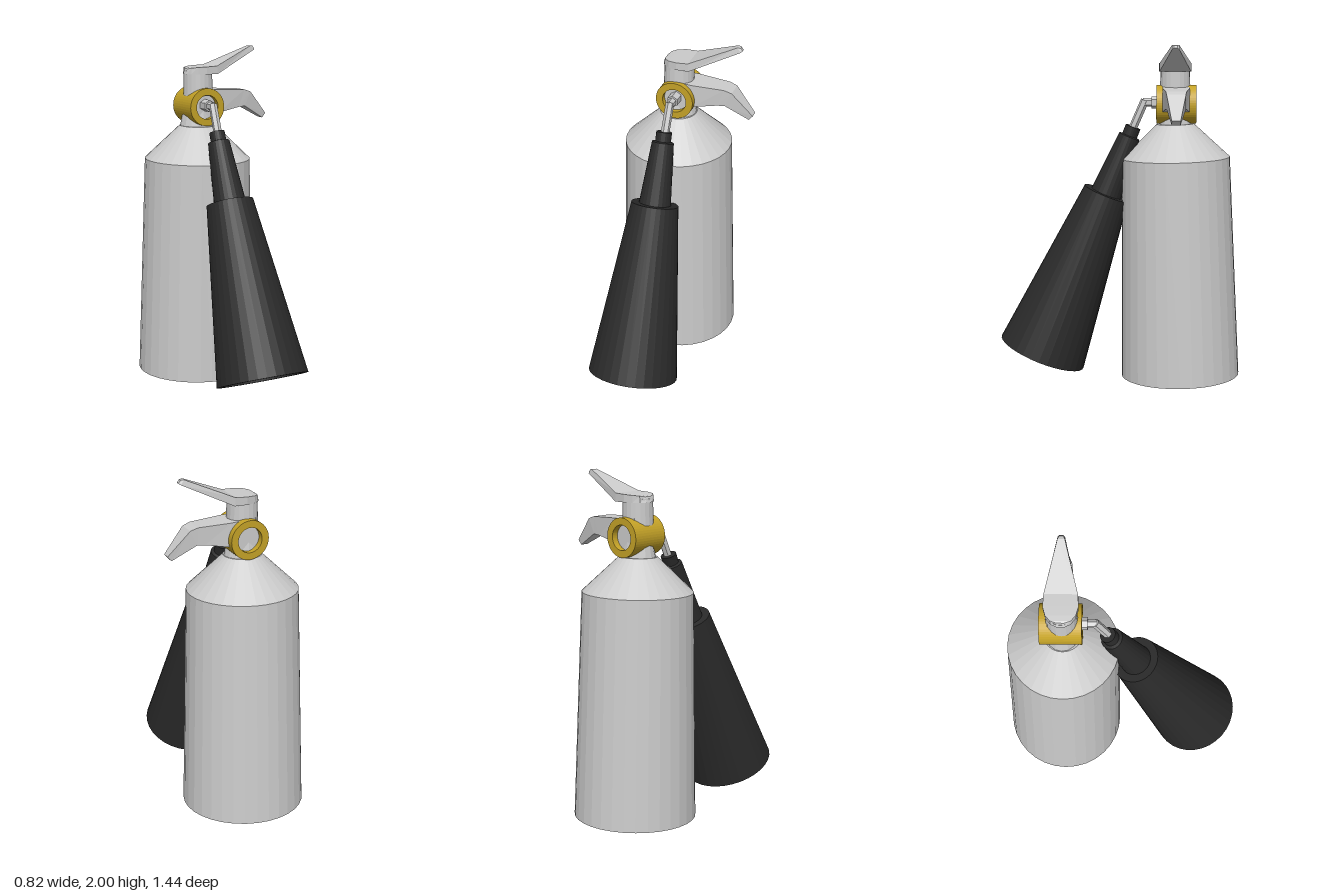
import * as THREE from 'three';

const paint = (color) => new THREE.MeshStandardMaterial({ color, flatShading: true });
const grey = paint(0xcccccc);
const black = paint(0x2a2a2a);
const yellow = paint(0xc4a227);

const CX = -0.055; // centre line of tank and horn
const VX = -0.045, VZ = -0.33; // valve centre

function part(parent, name, geometry, material) {
  const mesh = new THREE.Mesh(geometry, material);
  mesh.name = name;
  parent.add(mesh);
  return mesh;
}

const lathe = (points, sides) =>
  new THREE.LatheGeometry(points.map(([r, y]) => new THREE.Vector2(r, y)), sides);

// Lofts box sections along +x: [xBottom, yBottom, xTop, yTop, halfWidth]
function loft(sections) {
  const pos = [], index = [];
  for (const [xb, yb, xt, yt, w] of sections) {
    pos.push(xb, yb, -w, xb, yb, w, xt, yt, w, xt, yt, -w);
  }
  const last = (sections.length - 1) * 4;
  for (let i = 0; i < last; i += 4) {
    for (let k = 0; k < 4; k++) {
      const n = (k + 1) % 4;
      index.push(i + k, i + 4 + k, i + 4 + n, i + k, i + 4 + n, i + n);
    }
  }
  index.push(0, 1, 2, 0, 2, 3, last, last + 2, last + 1, last, last + 3, last + 2);
  const g = new THREE.BufferGeometry();
  g.setAttribute('position', new THREE.Float32BufferAttribute(pos, 3));
  g.setIndex(index);
  g.computeVertexNormals();
  return g;
}

// Rod between two points
function rod(parent, name, a, b, radius, material) {
  const from = new THREE.Vector3(...a), to = new THREE.Vector3(...b);
  const dir = to.clone().sub(from);
  const mesh = part(parent, name, new THREE.CylinderGeometry(radius, radius, dir.length(), 6), material);
  mesh.position.copy(from).lerp(to, 0.5);
  mesh.quaternion.setFromUnitVectors(new THREE.Vector3(0, 1, 0), dir.normalize());
  return mesh;
}

export function createModel() {
  const model = new THREE.Group();
  model.name = 'fireExtinguisher';

  // Tank with sloping shoulder, leaning slightly forward
  const tank = new THREE.Group();
  tank.name = 'tank';
  tank.position.set(CX, 0.009, -0.365);
  tank.rotation.x = 0.025;
  model.add(tank);
  part(tank, 'tankBody', lathe([[0, 0], [0.355, 0], [0.32, 1.32], [0.11, 1.52], [0, 1.52]], 32), grey);

  // Neck
  const neck = part(model, 'neck', new THREE.CylinderGeometry(0.085, 0.112, 0.14, 16), grey);
  neck.position.set(CX, 1.57, VZ);
  neck.scale.z = 0.9;

  // Collar ring around the valve, open front and back
  const ring = new THREE.Shape().absarc(0, 0, 0.113, 0, Math.PI * 2);
  ring.holes.push(new THREE.Path().absarc(0, 0, 0.072, 0, Math.PI * 2, true));
  const ringGeometry = new THREE.ExtrudeGeometry(ring, { depth: 0.235, bevelEnabled: false, curveSegments: 24 });
  part(model, 'valveRing', ringGeometry, yellow).position.set(VX, 1.645, -0.45);

  // Valve core, recessed inside the ring
  const core = part(model, 'valveCore', new THREE.CylinderGeometry(0.074, 0.074, 0.16, 20), grey);
  core.rotation.x = Math.PI / 2;
  core.position.set(VX, 1.645, VZ);

  // Post carrying the top handle
  const post = part(model, 'handlePost', new THREE.CylinderGeometry(0.086, 0.09, 0.15, 20), grey);
  post.position.set(-0.052, 1.785, VZ + 0.005);

  // Teardrop top handle
  part(model, 'topHandle', loft([
    [-0.142, 1.84, -0.13, 1.872, 0.02],
    [-0.125, 1.84, -0.12, 1.878, 0.055],
    [-0.09, 1.84, -0.09, 1.882, 0.082],
    [-0.04, 1.84, -0.04, 1.885, 0.096],
    [0.035, 1.84, 0.03, 1.888, 0.092],
    [0.325, 1.975, 0.3, 2.0, 0.02],
    [0.332, 1.982, 0.32, 1.998, 0.01],
  ]), grey).position.z = VZ + 0.005;

  // Squeeze lever, bent down at its end
  part(model, 'squeezeLever', loft([
    [-0.1, 1.62, -0.1, 1.755, 0.075],
    [0.05, 1.605, 0.05, 1.745, 0.08],
    [0.2, 1.632, 0.24, 1.737, 0.06],
    [0.245, 1.635, 0.285, 1.722, 0.055],
    [0.385, 1.555, 0.408, 1.582, 0.025],
  ]), grey).position.z = VZ;

  // Outlet arm from valve to horn
  const arm = new THREE.Group();
  arm.name = 'outletArm';
  model.add(arm);
  rod(arm, 'outletSocket', [VX, 1.655, -0.27], [VX, 1.655, -0.185], 0.036, grey);
  rod(arm, 'outletElbow', [VX, 1.655, -0.2], [VX, 1.655, -0.135], 0.025, grey);
  rod(arm, 'outletPipe', [VX, 1.668, -0.147], [CX + 0.005, 1.49, -0.07], 0.025, grey);

  // Discharge horn: hollow flared cone with a narrower grip above
  const horn = new THREE.Group();
  horn.name = 'dischargeHorn';
  horn.position.set(CX, 0.135, 0.4725);
  horn.rotation.x = -Math.atan(0.4);
  model.add(horn);
  part(horn, 'hornCone', lathe([
    [0, 0.95], [0.115, 0.95], [0.235, 0], [0.268, 0], [0.139, 1.052], [0, 1.052],
  ], 32), black);
  part(horn, 'hornGrip', lathe([
    [0.095, 1.04], [0.064, 1.42], [0.046, 1.425], [0.046, 1.481], [0, 1.481],
  ], 24), black);

  return model;
}
